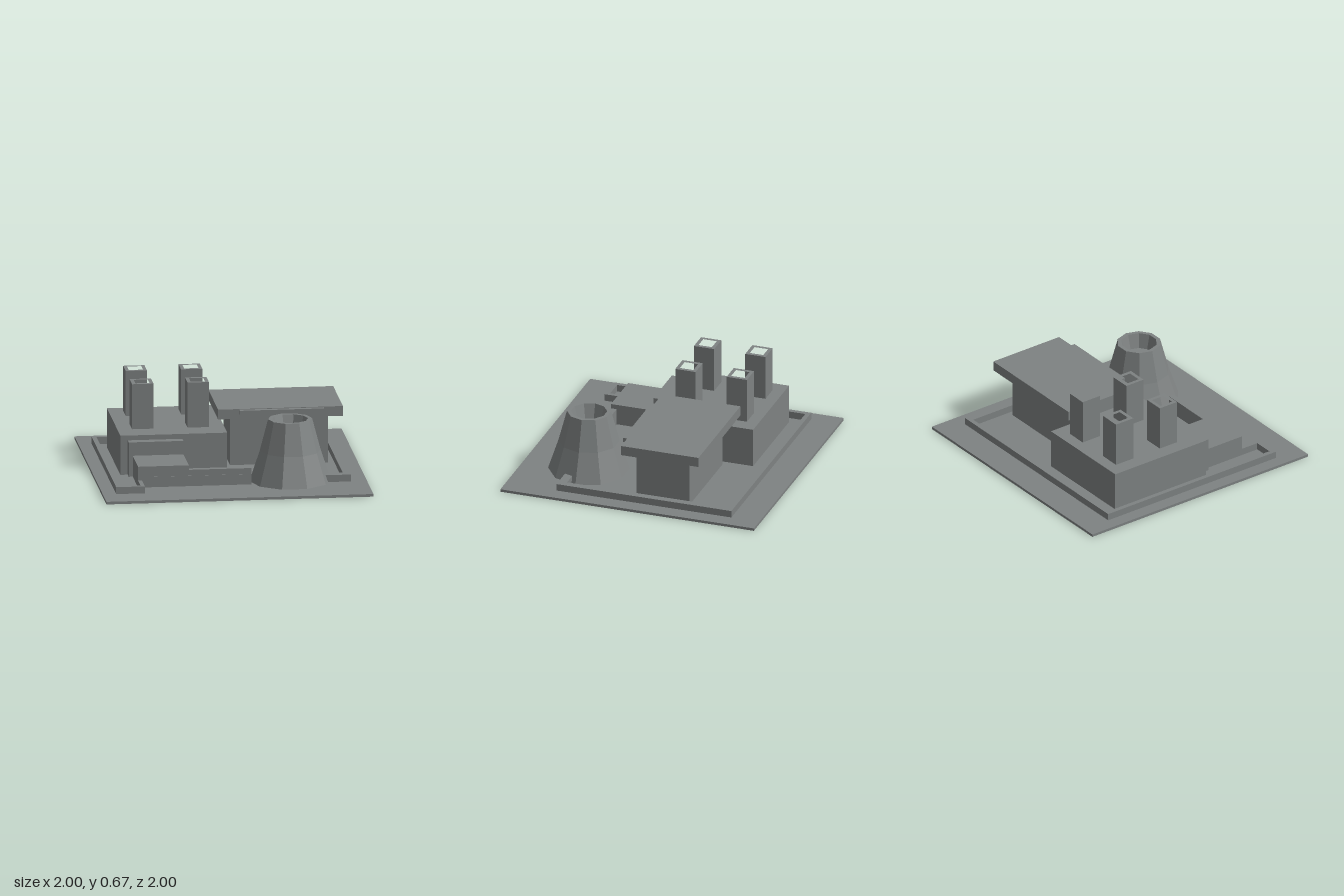
import * as THREE from 'three';

export function createModel() {
  const model = new THREE.Group();
  const concrete = new THREE.MeshStandardMaterial({ color: 0x7e8282 });
  concrete.name = 'concrete grey';

  const add = (name, geometry) => {
    const mesh = new THREE.Mesh(geometry, concrete);
    mesh.name = name;
    model.add(mesh);
    return mesh;
  };

  // Box given by its limits on each axis
  const block = (name, [x0, x1], [y0, y1], [z0, z1]) =>
    add(name, new THREE.BoxGeometry(x1 - x0, y1 - y0, z1 - z0)
      .translate((x0 + x1) / 2, (y0 + y1) / 2, (z0 + z1) / 2));

  // Plan outline [x, z] raised from y0 to y1, with an optional hole
  const toPoints = (list) => list.map(([x, z]) => new THREE.Vector2(x, -z));
  const raise = (name, outline, y0, y1, hole) => {
    const shape = new THREE.Shape(toPoints(outline));
    if (hole) shape.holes.push(new THREE.Path(toPoints(hole)));
    const geometry = new THREE.ExtrudeGeometry(shape, { depth: y1 - y0, bevelEnabled: false });
    return add(name, geometry.rotateX(-Math.PI / 2).translate(0, y0, 0));
  };
  const square = (x, z, r) => [[x - r, z - r], [x + r, z - r], [x + r, z + r], [x - r, z + r]];

  const ground = 0.02;

  // Ground slab
  block('groundSlab', [-1, 1], [0, ground], [-1, 1]);

  // Low wall around the yard, open at the front
  raise('perimeterWall', [
    [0.69, 0.6], [0.88, 0.6], [0.88, -0.78], [-0.9, -0.78], [-0.9, 0.775],
    [-0.685, 0.775], [-0.685, 0.6], [-0.715, 0.6], [-0.715, 0.74], [-0.865, 0.74],
    [-0.865, -0.745], [0.825, -0.745], [0.825, 0.535], [0.69, 0.535],
  ], ground, 0.073);

  // Main hall with four hollow chimneys
  block('mainHall', [-0.8, 0], [ground, 0.32], [-0.64, 0.2]);
  for (const x of [-0.61, -0.195]) {
    for (const z of [-0.47, -0.065]) {
      raise('chimney', square(x, z, 0.08), 0.32, 0.665, square(x, z, 0.053));
    }
  }

  // Side hall with overhanging roof and a blank sign
  block('sideHall', [0.045, 0.78], [ground, 0.395], [-0.415, 0.005]);
  block('sideRoof', [-0.055, 0.88], [0.395, 0.47], [-0.52, 0.09]);
  block('signBoard', [0.105, 0.735], [0.432, 0.465], [0.09, 0.125]);

  // Stepped entrance and front wall
  block('entranceBlock', [-0.745, -0.335], [ground, 0.283], [0.2, 0.265]);
  block('entrancePorch', [-0.715, -0.335], [ground, 0.18], [0.265, 0.6]);
  block('frontWall', [-0.335, 0.135], [ground, 0.145], [0.555, 0.6]);
  block('frontWallStrip', [-0.66, 0.085], [0.06, 0.1], [0.6, 0.603]);

  // Ten-sided cooling tower with a recessed top
  const profile = [
    [0.305, ground], [0.228, 0.25], [0.165, 0.49], [0.135, 0.49], [0.105, 0.38], [0, 0.38],
  ].map(([r, y]) => new THREE.Vector2(r, y));
  const tower = new THREE.LatheGeometry(profile, 10).rotateY(Math.PI / 10).toNonIndexed();
  tower.computeVertexNormals();
  add('coolingTower', tower.translate(0.435, 0, 0.5));

  return model;
}
